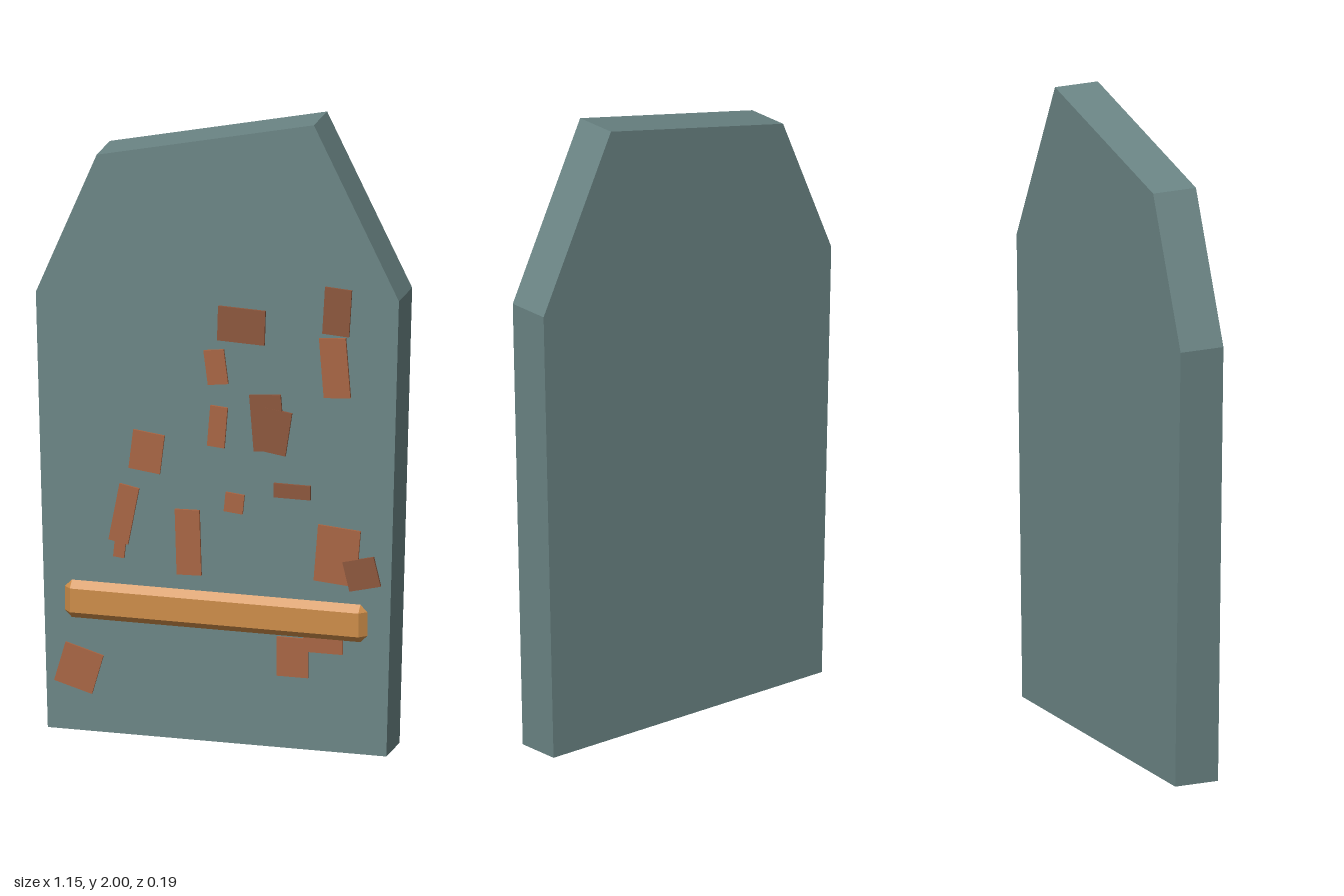
import * as THREE from 'three';
import { ConvexGeometry } from 'three/addons/geometries/ConvexGeometry.js';

const material = (color) => new THREE.MeshStandardMaterial({ color, flatShading: true });

function addMesh(parent, name, geometry, mat) {
  const mesh = new THREE.Mesh(geometry, mat);
  mesh.name = name;
  parent.add(mesh);
  return mesh;
}

// Bar with all edges chamfered: back rectangle, wide octagon, front rectangle
function chamferedBar(w, h, bevel, zBack, zMid, zFront) {
  const points = [];
  for (const sx of [-1, 1]) {
    for (const sy of [-1, 1]) {
      const x = sx * w / 2, y = sy * h / 2;
      const xi = x - sx * bevel, yi = y - sy * bevel;
      points.push(
        new THREE.Vector3(xi, yi, zBack),
        new THREE.Vector3(x, yi, zMid),
        new THREE.Vector3(xi, y, zMid),
        new THREE.Vector3(xi, yi, zFront),
      );
    }
  }
  return new ConvexGeometry(points);
}

export function createModel() {
  const model = new THREE.Group();
  model.name = 'slabMarker';

  const stone = material(0x6b8585);
  const wood = material(0xcc8c48);
  const rust = material(0xa86543);
  const darkRust = material(0x8c563c);

  // Upright slab with an uneven broken top
  const outline = [
    [-0.54, 0], [0.535, 0], [0.575, 1.46], [0.305, 2], [-0.385, 1.845], [-0.578, 1.39],
  ].map(([x, y]) => new THREE.Vector2(x, y));
  const slab = new THREE.ExtrudeGeometry(new THREE.Shape(outline), { depth: 0.145, bevelEnabled: false });
  slab.translate(0, 0, -0.094);
  addMesh(model, 'slab', slab, stone);

  // Cross bar on the lower front
  const bar = addMesh(model, 'crossBar', chamferedBar(0.96, 0.12, 0.022, 0.05, 0.07, 0.093), wood);
  bar.position.y = 0.425;

  // Thin rust patches: x, y, width, height, tilt, dark
  const patches = [
    [0.076, 1.34, 0.15, 0.11, -0.03, 1],
    [0.38, 1.41, 0.085, 0.15, -0.06, 1],
    [0.373, 1.23, 0.085, 0.19, 0.08, 0],
    [-0.005, 1.2, 0.065, 0.11, 0.13, 0],
    [0, 1.01, 0.055, 0.13, -0.08, 0],
    [0.158, 1.035, 0.1, 0.18, 0.08, 1],
    [0.182, 1.01, 0.09, 0.14, -0.15, 1],
    [-0.225, 0.91, 0.1, 0.125, -0.12, 0],
    [-0.297, 0.705, 0.063, 0.185, -0.19, 0],
    [-0.31, 0.6, 0.035, 0.07, -0.1, 0],
    [-0.093, 0.632, 0.078, 0.208, 0.03, 0],
    [0.053, 0.77, 0.06, 0.062, -0.1, 0],
    [0.237, 0.823, 0.117, 0.045, 0, 1],
    [0.38, 0.63, 0.135, 0.18, -0.08, 0],
    [0.458, 0.578, 0.102, 0.095, 0.24, 1],
    [0.238, 0.293, 0.1, 0.125, 0, 0],
    [0.335, 0.345, 0.125, 0.06, 0, 0],
    [-0.44, 0.2, 0.125, 0.13, -0.28, 0],
  ];
  const rustPatches = new THREE.Group();
  rustPatches.name = 'rustPatches';
  patches.forEach(([x, y, w, h, tilt, dark], i) => {
    // Alternate thickness so overlapping patches do not share a plane
    const depth = 0.007 + (i % 2 ? 0 : 0.001);
    const patch = addMesh(rustPatches, 'rustPatch', new THREE.BoxGeometry(w, h, depth), dark ? darkRust : rust);
    patch.position.set(x, y, 0.051 + depth / 2);
    patch.rotation.z = tilt;
  });
  model.add(rustPatches);

  return model;
}
